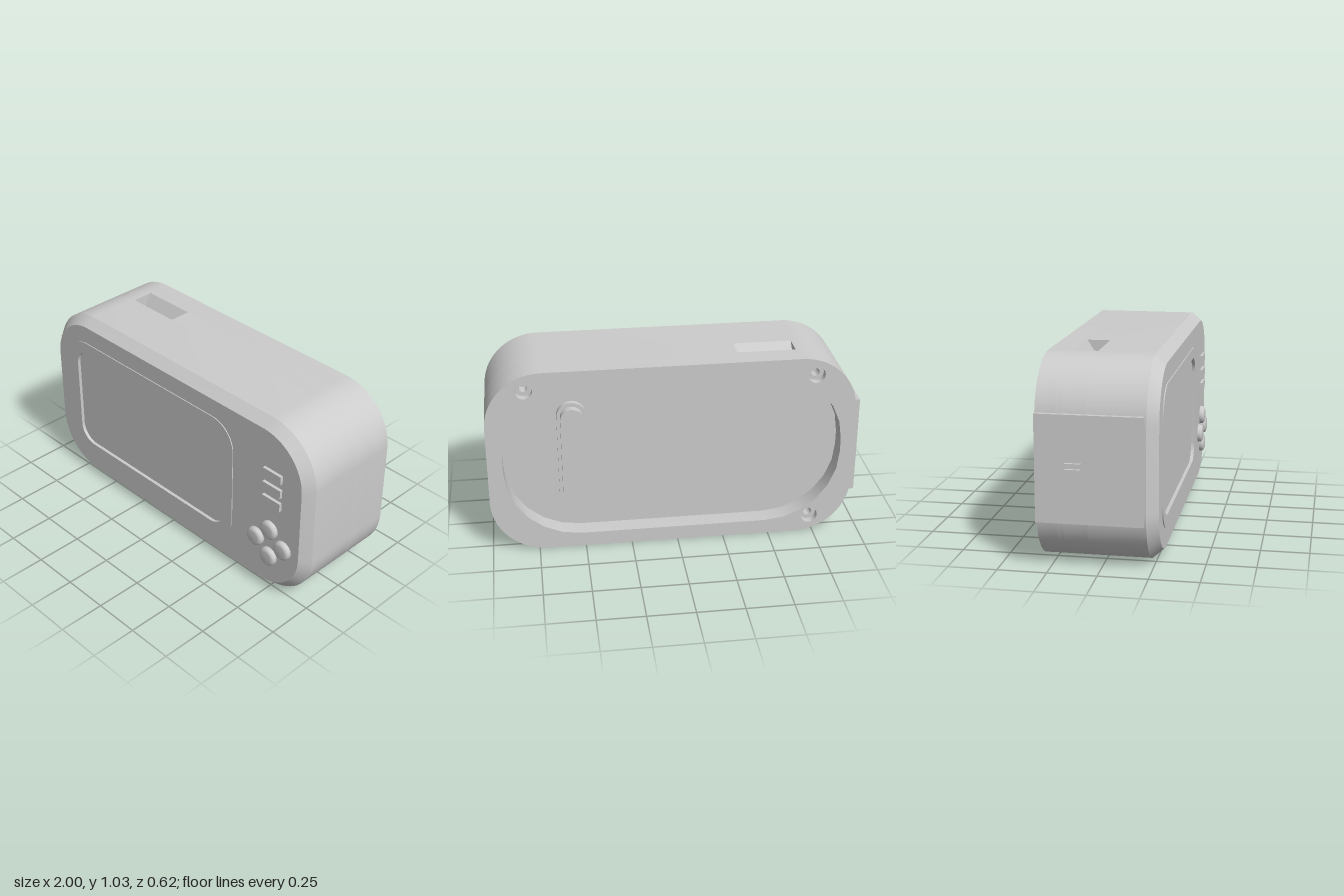
import * as THREE from 'three';
import { toCreasedNormals } from 'three/addons/utils/BufferGeometryUtils.js';

const material = new THREE.MeshStandardMaterial({ color: 0xcccccc });
const TOP = 1.035, BACK = -0.31, FLOOR = -0.21, SHOULDER = 0.23, FRONT = 0.285;

// Counter-clockwise points of a rounded rectangle
function roundedPoints(x0, x1, y0, y1, r, n = 16) {
  const corners = [[x1 - r, y0 + r], [x1 - r, y1 - r], [x0 + r, y1 - r], [x0 + r, y0 + r]];
  const points = [];
  corners.forEach(([cx, cy], c) => {
    for (let i = 0; i <= n; i++) {
      const a = (c - 1 + i / n) * Math.PI / 2;
      points.push(new THREE.Vector2(cx + r * Math.cos(a), cy + r * Math.sin(a)));
    }
  });
  return points;
}

const circlePoints = (x, y, r, n = 24) => Array.from({ length: n }, (_, i) => {
  const a = i / n * Math.PI * 2;
  return new THREE.Vector2(x + r * Math.cos(a), y + r * Math.sin(a));
});

function makeShape(points, holes = []) {
  const shape = new THREE.Shape(points);
  shape.holes = holes.map(h => new THREE.Path(h));
  return shape;
}

function slab(points, z0, z1, holes) {
  const geo = new THREE.ExtrudeGeometry(makeShape(points, holes), { depth: z1 - z0, bevelEnabled: false });
  return toCreasedNormals(geo.translate(0, 0, z0), 0.5);
}

// Sloping band between two outlines with equal point counts
function band(outer, z0, inner, z1) {
  const n = outer.length, position = [], index = [];
  for (let i = 0; i < n; i++) {
    position.push(outer[i].x, outer[i].y, z0, inner[i].x, inner[i].y, z1);
    const a = 2 * i, b = 2 * ((i + 1) % n);
    index.push(a, b, b + 1, a, b + 1, a + 1);
  }
  const geo = new THREE.BufferGeometry();
  geo.setAttribute('position', new THREE.Float32BufferAttribute(position, 3));
  geo.setIndex(index);
  return toCreasedNormals(geo, 0.5);
}

export function createModel() {
  const model = new THREE.Group();
  const add = (name, geo, parent = model) => {
    const mesh = new THREE.Mesh(geo, material);
    mesh.name = name;
    parent.add(mesh);
    return mesh;
  };
  const group = name => {
    const g = new THREE.Group();
    g.name = name;
    model.add(g);
    return g;
  };
  const box = (name, x0, x1, y0, y1, z0, z1, parent) => add(name,
    new THREE.BoxGeometry(x1 - x0, y1 - y0, z1 - z0)
      .translate((x0 + x1) / 2, (y0 + y1) / 2, (z0 + z1) / 2), parent);

  const outline = roundedPoints(-0.95, 1, 0, TOP, 0.3);
  const faceOutline = roundedPoints(-0.905, 0.955, 0.048, 0.99, 0.262);
  const screenOutline = roundedPoints(-0.74, 0.43, 0.215, 0.83, 0.1);
  const recess = roundedPoints(-0.88, 0.92, 0.08, 0.955, 0.4, 6);
  const screws = [[0.79, 0.94], [-0.73, 0.94], [-0.73, 0.095]];

  // Body: back rim, then stacked slabs with the top pocket cut out of the middle one
  const body = group('body');
  add('backRim', slab(outline, BACK, FLOOR,
    [recess, ...screws.map(([x, y]) => circlePoints(x, y, 0.045))]), body);
  add('recessFloor', slab(outline, FLOOR, -0.18), body);
  const pocketBottom = TOP - 0.07;
  const notched = [...outline];
  notched.splice(34, 0, ...[[-0.33, TOP], [-0.33, pocketBottom], [-0.64, pocketBottom], [-0.64, TOP]]
    .map(p => new THREE.Vector2(...p)));
  add('pocketSection', slab(notched, -0.18, -0.06), body);
  add('frontSection', slab(outline, -0.06, SHOULDER), body);

  // Sloping walls of the top pocket
  const slopes = [
    [[0.06, TOP], [0.135, pocketBottom], [0.06, pocketBottom]],
    [[0.18, TOP], [0.18, pocketBottom], [0.135, pocketBottom]],
  ];
  slopes.forEach(tri => add('pocketSlope',
    slab(tri.map(p => new THREE.Vector2(...p)), 0, 0.31)
      .rotateY(Math.PI / 2).translate(-0.64, 0, 0), body));

  // Bevelled front face with an opening for the screen
  add('frontBevel', band(outline, SHOULDER, faceOutline, FRONT), body);
  add('frontFace', new THREE.ShapeGeometry(makeShape(faceOutline, [screenOutline]))
    .translate(0, 0, FRONT), body);

  // Screen and its slightly raised frame
  add('screenFrame', slab(roundedPoints(-0.8, 0.49, 0.155, 0.89, 0.15), 0.25, 0.29, [screenOutline]));
  add('screen', slab(screenOutline, 0.24, 0.272));

  // Three small bars beside the screen
  const bars = group('sideBars');
  [0.585, 0.667, 0.752].forEach(y => box('bar', 0.71, 0.83, y - 0.024, y + 0.024, 0.28, 0.302, bars));

  // Four domed push buttons in a diamond
  const buttons = group('buttons');
  const buttonProfile = [[0.053, 0], [0.053, 0.017], [0.05, 0.025], [0.043, 0.031], [0.033, 0.034], [0, 0.035]]
    .map(p => new THREE.Vector2(...p));
  [[0.76, 0.403], [0.667, 0.31], [0.853, 0.323], [0.76, 0.23]].forEach(([x, y]) => {
    const button = add('button', new THREE.LatheGeometry(buttonProfile, 28).rotateX(Math.PI / 2), buttons);
    button.position.set(x, y, 0.28);
  });

  // Side plate with a stepped slide switch
  box('sidePlate', -0.97, -0.9, 0.245, 0.785, BACK, 0.22);
  const slider = group('slideSwitch');
  box('switchBase', -0.985, -0.965, 0.45, 0.55, -0.16, -0.08, slider);
  box('switchNub', -1, -0.98, 0.475, 0.525, -0.16, -0.08, slider);

  // Two-step raised grip inside the back recess
  const grip = group('backGrip');
  add('gripBase', slab(roundedPoints(0.472, 0.628, 0.215, 0.825, 0.078), -0.24, FLOOR, []), grip);
  add('gripTop', slab(roundedPoints(0.49, 0.61, 0.235, 0.805, 0.06), -0.28, -0.24, []), grip);

  // Sunken screw seats in the back rim
  const seats = group('screwSeats');
  screws.forEach(([x, y]) => add('screwSeat',
    slab(circlePoints(x, y, 0.045), -0.27, FLOOR, [circlePoints(x, y, 0.022)]), seats));

  return model;
}
